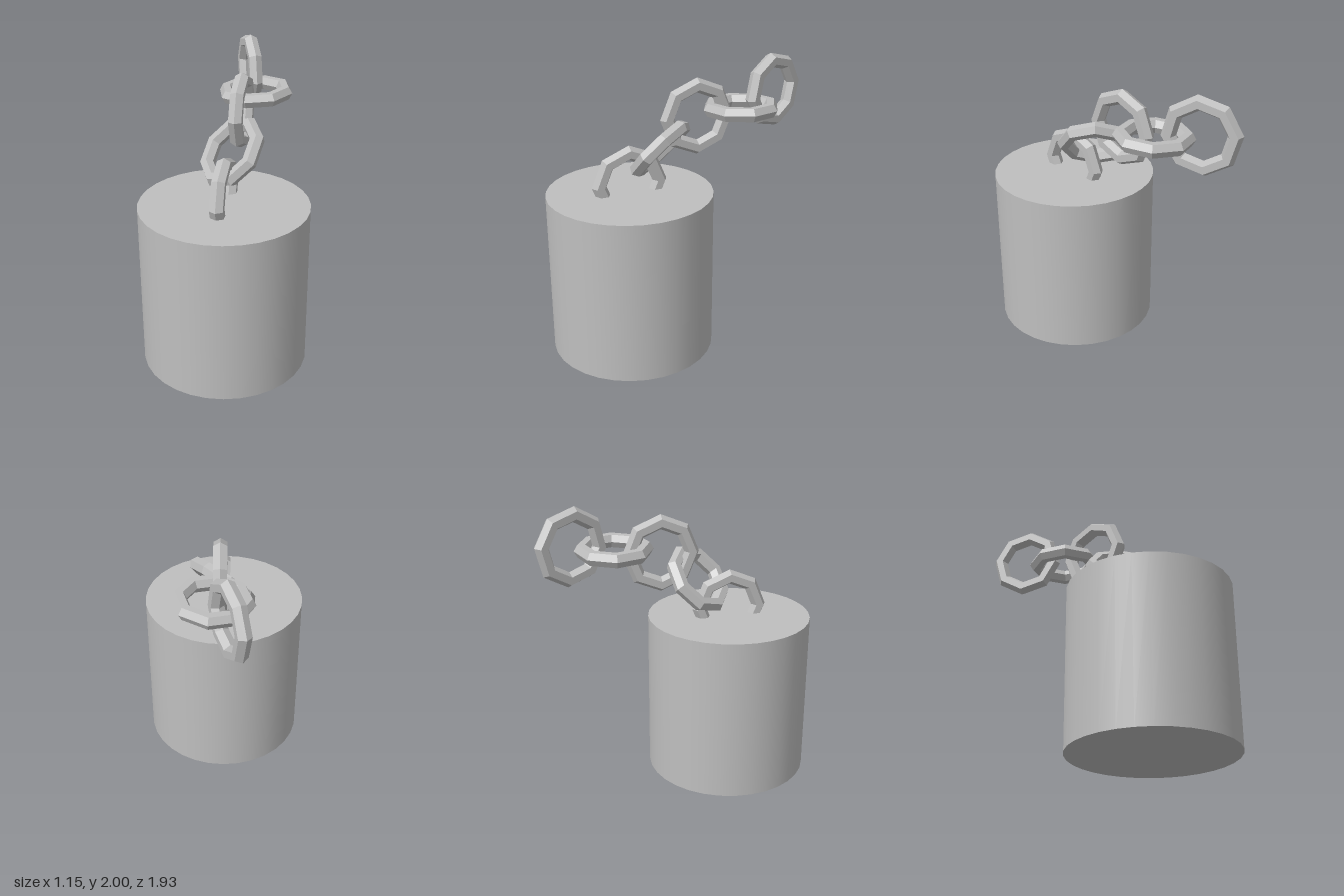
import * as THREE from 'three';

const RING = 0.218, TUBE = 0.052;

export function createModel() {
  const model = new THREE.Group();
  model.name = 'chainedWeight';

  const steel = new THREE.MeshStandardMaterial({ color: 0xbfbfbf });
  steel.name = 'grey steel';

  // Heavy cylindrical block
  const block = new THREE.Mesh(new THREE.CylinderGeometry(0.573, 0.573, 1.15, 32), steel);
  block.name = 'weight';
  block.position.set(0, 0.575, 0.39);
  model.add(block);

  // Faceted octagonal link with hexagonal section
  const linkGeometry = new THREE.TorusGeometry(RING, TUBE, 6, 8).toNonIndexed();
  linkGeometry.computeVertexNormals();

  // u and v are the two directions spanning the ring's plane
  function addLink(name, centre, u, v) {
    const x = new THREE.Vector3(...u).normalize();
    const z = x.clone().cross(new THREE.Vector3(...v)).normalize();
    const y = z.clone().cross(x);
    const link = new THREE.Mesh(linkGeometry, steel);
    link.name = name;
    link.position.set(...centre);
    link.quaternion.setFromRotationMatrix(new THREE.Matrix4().makeBasis(x, y, z));
    model.add(link);
  }

  // Chain, from the half-sunk anchor to the free end
  addLink('anchorLink', [0, 1.21, 0.39], [0, 0, 1], [0, 1, 0]);
  addLink('tiltedLink', [0.005, 1.43, 0.163], [0.04, -0.144, 0.23], [0.225, 0.173, 0.02]);
  addLink('uprightLink', [0.02, 1.63, -0.1], [0, 0, 1], [0, 1, 0]);
  addLink('flatLink', [0.06, 1.666, -0.415], [0.27, 0.012, 0.03], [0.03, 0, -0.27]);
  addLink('endLink', [-0.04, 1.734, -0.717], [-0.1, 0.035, -0.245], [0.013, 0.265, 0.035]);

  return model;
}
